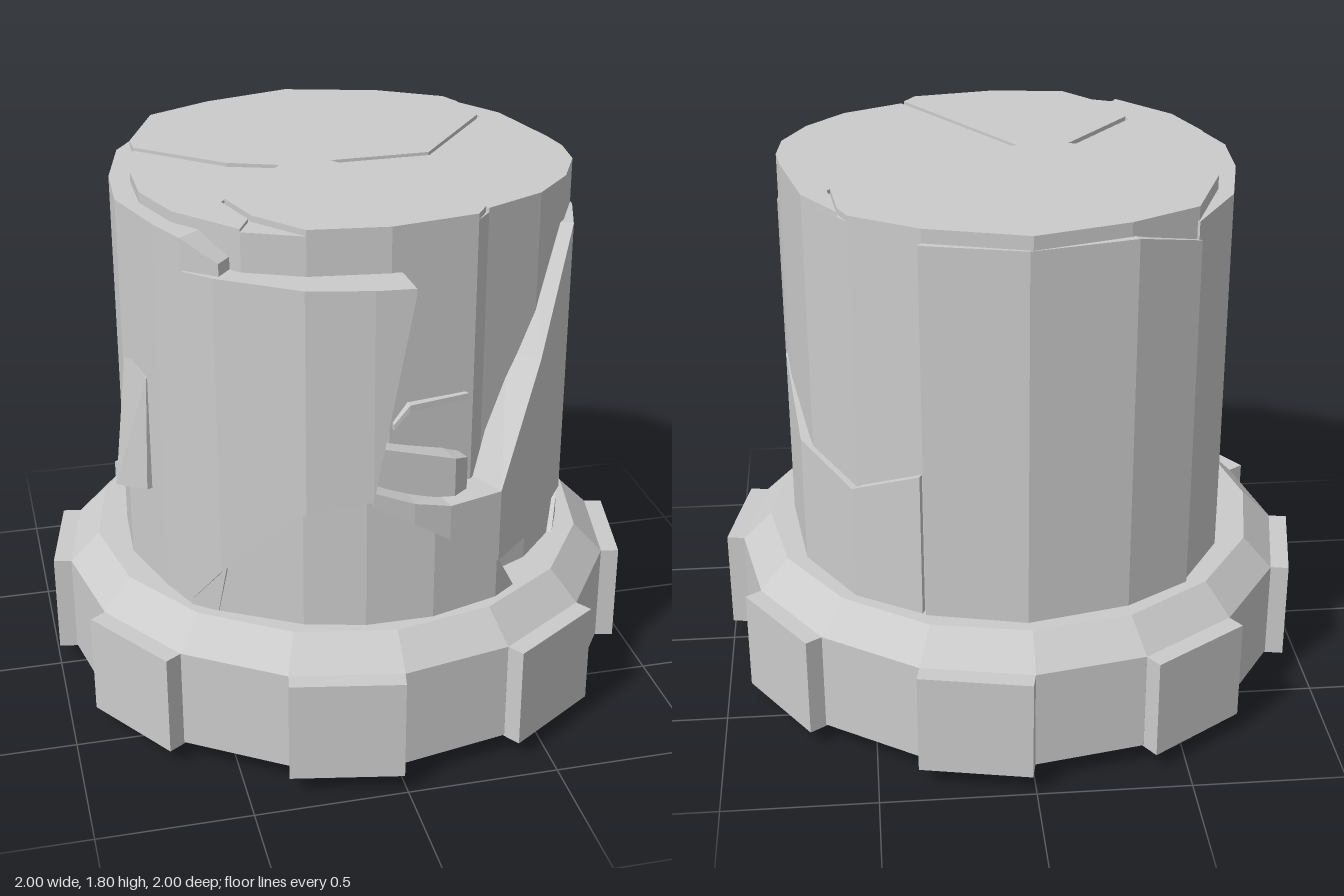
import * as THREE from 'three';

const material = new THREE.MeshStandardMaterial({ color: 0xcccccc, flatShading: true });

function add(group, name, geometry) {
  const mesh = new THREE.Mesh(geometry, material);
  mesh.name = name;
  group.add(mesh);
  return mesh;
}

// Upright prism over an [x, z] outline
function prism(outline, y0, y1) {
  const shape = new THREE.Shape(outline.map(([x, z]) => new THREE.Vector2(x, -z)));
  return new THREE.ExtrudeGeometry(shape, { depth: y1 - y0, bevelEnabled: false })
    .rotateX(-Math.PI / 2).translate(0, y0, 0);
}

// Curved shell fragment: stations [x, z, low, high, flare at the low edge],
// running counter-clockwise as seen from above
function shell(stations, inner = 0.84) {
  const rings = stations.map(([x, z, lo, hi, flare = 1]) => [
    [x * flare, lo, z * flare], [x, hi, z], [x * inner, hi, z * inner], [x * inner, lo, z * inner],
  ]);
  const pos = [];
  const quad = (a, b, c, d) => pos.push(...a, ...b, ...c, ...a, ...c, ...d);
  for (let i = 0; i + 1 < rings.length; i++) {
    const a = rings[i], b = rings[i + 1];
    for (let k = 0; k < 4; k++) {
      const n = (k + 1) % 4;
      quad(a[k], b[k], b[n], a[n]);
    }
  }
  quad(...rings[0]);
  quad(...rings[rings.length - 1].slice().reverse());
  const geometry = new THREE.BufferGeometry();
  geometry.setAttribute('position', new THREE.Float32BufferAttribute(pos, 3));
  geometry.computeVertexNormals();
  return geometry;
}

export function createModel() {
  const model = new THREE.Group();
  model.name = 'crackedPillar';

  // Sixteen-sided collar with a bevelled top
  const profile = [[0.6, 0.07], [0.94, 0.07], [0.94, 0.41], [0.84, 0.51], [0.65, 0.51]];
  add(model, 'collar', new THREE.LatheGeometry(profile.map(p => new THREE.Vector2(...p)), 16));

  // Blocks on every second side of the collar
  for (let i = 0; i < 8; i++) {
    const a = Math.PI / 16 + i * Math.PI / 4;
    const block = add(model, 'collarBlock', new THREE.BoxGeometry(0.12, 0.345, 0.366));
    block.position.set(Math.cos(a) * 0.923, 0.2375, Math.sin(a) * 0.923);
    block.rotation.y = -a;
  }

  // Pillar core, narrower on the broken front
  const core = [
    [0, -0.79], [0.32, -0.7], [0.53, -0.57], [0.67, -0.35], [0.74, -0.05], [0.755, 0.06],
    [0.74, 0.2], [0.66, 0.36], [0.53, 0.5], [0.33, 0.6], [0.28, 0.66], [0, 0.71],
    [-0.25, 0.68], [-0.43, 0.6], [-0.6, 0.4], [-0.67, 0.2], [-0.67, 0], [-0.63, -0.3],
    [-0.52, -0.58], [-0.3, -0.7],
  ];
  add(model, 'core', prism(core, 0.07, 1.785));
  add(model, 'foot', prism(core.map(([x, z]) => [x, Math.max(z, -0.62)]), 0, 0.08));

  // Top surface split by cracks into three slightly offset slabs
  add(model, 'topSlab', prism([
    ...core.slice(10, 13), [-0.38, 0.52], [-0.43, 0.35], [-0.2, 0.07], [-0.36, 0.01], [-0.63, -0.22],
    ...core.slice(17), ...core.slice(0, 3), [0.56, -0.5], [0.58, -0.32], [0.3, 0.05], [-0.03, 0.06], [0.32, 0.6],
  ], 1.78, 1.805));
  add(model, 'topSlabRight', prism([
    [0.33, 0.6], [-0.02, 0.07], [0.3, 0.06], [0.59, -0.32], [0.56, -0.52], ...core.slice(3, 10),
  ], 1.78, 1.798));
  add(model, 'topSlabLeft', prism([
    [-0.39, 0.52], [-0.43, 0.6], ...core.slice(14, 17), [-0.63, -0.22], [-0.36, 0.02], [-0.21, 0.07], [-0.44, 0.35],
  ], 1.78, 1.795));

  // Broken shell fragments
  const fragments = {
    leftPlate: [
      [-0.52, -0.59, 0.1, 1.76], [-0.67, -0.35, 0.05, 1.76], [-0.73, -0.08, 0.02, 1.76],
      [-0.74, 0.15, 0.02, 1.76], [-0.66, 0.4, 0.02, 1.76], [-0.6, 0.54, 0.05, 1.76], [-0.5, 0.62, 0.68, 1.7],
    ],
    frontPlate: [
      [-0.6, 0.55, 0.54, 1.66], [-0.52, 0.63, 0.67, 1.66], [-0.28, 0.79, 0.93, 1.66],
      [-0.08, 0.835, 0.97, 1.66], [0.04, 0.845, 1.64, 1.66],
    ],
    lowerFrontPlate: [
      [-0.62, 0.5, 0, 0.51], [-0.52, 0.6, 0, 0.67], [-0.28, 0.74, 0, 0.93], [-0.09, 0.79, 0, 0.96],
      [0.13, 0.79, 0, 0.83], [0.36, 0.72, 0, 0.66], [0.44, 0.66, 0, 0.51],
    ],
    rightPlate: [
      [-0.08, 0.83, 0.95, 1.0], [0.05, 0.835, 0.88, 0.95], [0.17, 0.82, 0.8, 0.92], [0.35, 0.765, 0.67, 0.92],
      [0.52, 0.6, 0.67, 1.28], [0.68, 0.4, 0.71, 1.65], [0.74, 0.22, 0.61, 1.65], [0.758, 0.04, 0.3, 1.65],
    ],
    lowerRightPlate: [
      [0.68, 0.36, 0, 0.51], [0.735, 0.24, 0, 0.59], [0.758, 0.04, 0, 0.69],
    ],
    flaredChip: [
      [-0.7, -0.08, 0.95, 1.1], [-0.735, 0.16, 0.78, 1.25, 1.07], [-0.69, 0.32, 0.83, 1.22, 1.02],
    ],
    frontChip: [
      [-0.06, 0.77, 0.94, 1.12], [0.2, 0.76, 0.92, 1.05], [0.25, 0.72, 0.92, 1.03],
    ],
    frontFlake: [
      [0.01, 0.725, 1.15, 1.17], [0.06, 0.725, 1.21, 1.23], [0.26, 0.68, 1.21, 1.23],
    ],
    rearRightPlate: [
      [0.758, 0.04, 0.1, 1.1], [0.71, -0.32, 0.1, 0.95], [0.55, -0.58, 0.1, 0.9], [0.34, -0.71, 0.1, 1.0],
    ],
    rearPlate: [
      [0.33, -0.72, 0.1, 1.76], [0.01, -0.795, 0.1, 1.76], [-0.32, -0.72, 0.1, 1.76], [-0.53, -0.59, 0.1, 1.7],
    ],
  };
  for (const [name, stations] of Object.entries(fragments)) add(model, name, shell(stations));

  return model;
}
